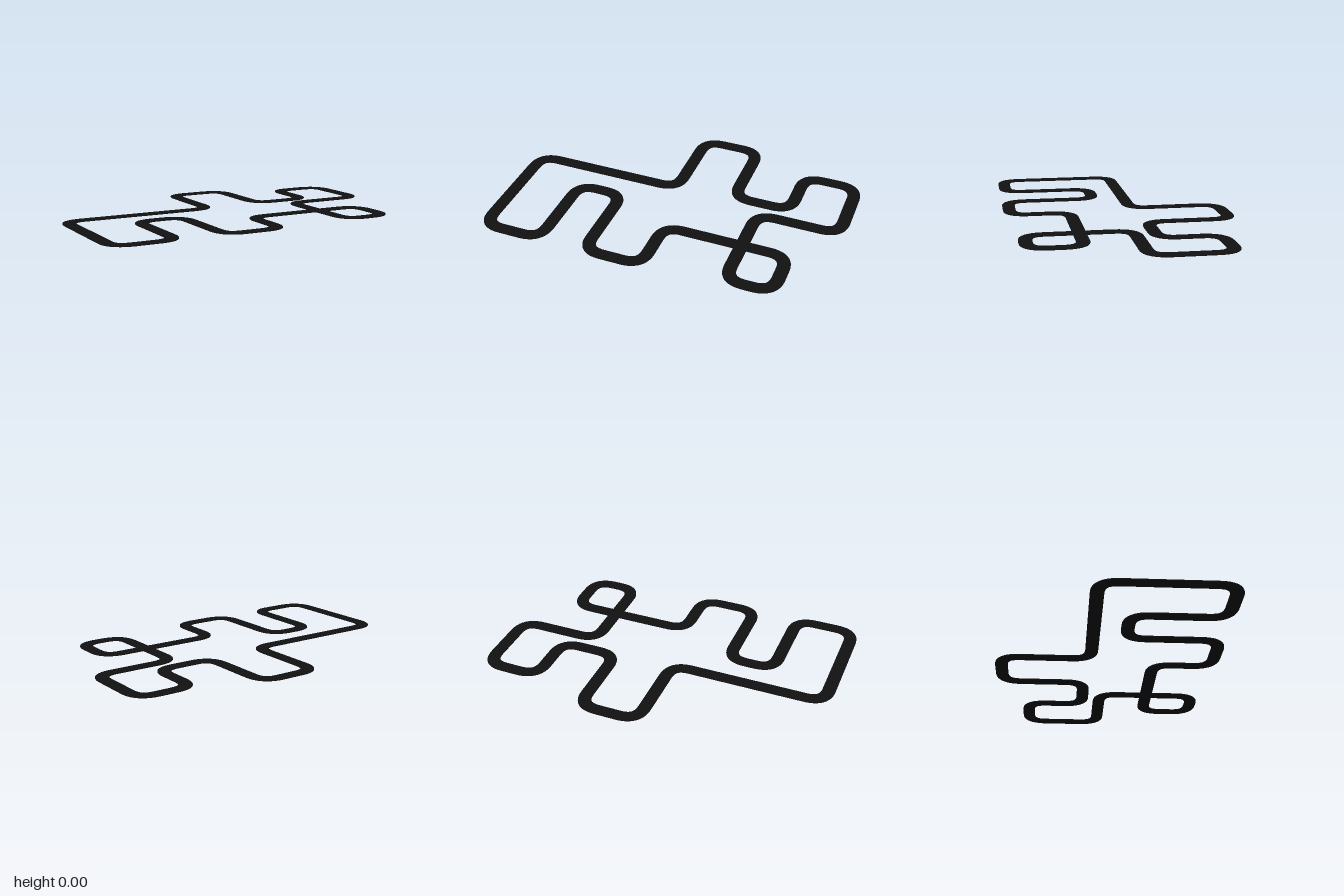
import * as THREE from 'three';
import { toCreasedNormals } from 'three/addons/utils/BufferGeometryUtils.js';

const WIDTH = 0.075, HEIGHT = 0.005, CORNER = 0.11, STEPS = 12;

// Corners of the closed centre line as [x, z]; legs run alternately along x and z
const CORNERS = [
  [-0.963, -0.097], [-0.055, -0.097], [-0.055, -0.627], [0.295, -0.627],
  [0.295, -0.13], [0.642, -0.13], [0.642, -0.476], [0.963, -0.476],
  [0.963, -0.022], [0.477, -0.022], [0.477, 0.575], [0.747, 0.575],
  [0.747, 0.275], [0.013, 0.275], [0.013, 0.625], [-0.333, 0.625],
  [-0.333, 0.091], [-0.61, 0.091], [-0.61, 0.625], [-0.963, 0.625],
].map(([x, z]) => new THREE.Vector2(x, z));

// Position and direction samples: each corner is a rounded bend, joined by straights
function centreLine() {
  const samples = [];
  const n = CORNERS.length;
  CORNERS.forEach((corner, i) => {
    const toward = (other) => corner.clone().add(other.clone().sub(corner).setLength(CORNER));
    const bend = new THREE.QuadraticBezierCurve(
      toward(CORNERS[(i + n - 1) % n]), corner, toward(CORNERS[(i + 1) % n]));
    for (let s = 0; s <= STEPS; s++) {
      samples.push({ p: bend.getPoint(s / STEPS), d: bend.getTangent(s / STEPS) });
    }
  });
  return samples;
}

// Sweep a thin rectangular section around the closed line
function ribbonGeometry() {
  const w = WIDTH / 2;
  const section = [[-w, 0], [w, 0], [w, HEIGHT], [-w, HEIGHT]];
  const rings = centreLine().map(({ p, d }) =>
    section.map(([s, y]) => [p.x + d.y * s, y, p.y - d.x * s]));
  const positions = [];
  rings.forEach((ring, i) => {
    const next = rings[(i + 1) % rings.length];
    for (let k = 0; k < 4; k++) {
      const m = (k + 1) % 4;
      positions.push(...ring[k], ...ring[m], ...next[m], ...ring[k], ...next[m], ...next[k]);
    }
  });
  const geometry = new THREE.BufferGeometry();
  geometry.setAttribute('position', new THREE.Float32BufferAttribute(positions, 3));
  return toCreasedNormals(geometry, Math.PI / 6);
}

export function createModel() {
  const group = new THREE.Group();
  group.name = 'circuit';
  const track = new THREE.Mesh(ribbonGeometry(), new THREE.MeshStandardMaterial({ color: 0x111111 }));
  track.name = 'trackRibbon';
  group.add(track);
  return group;
}
